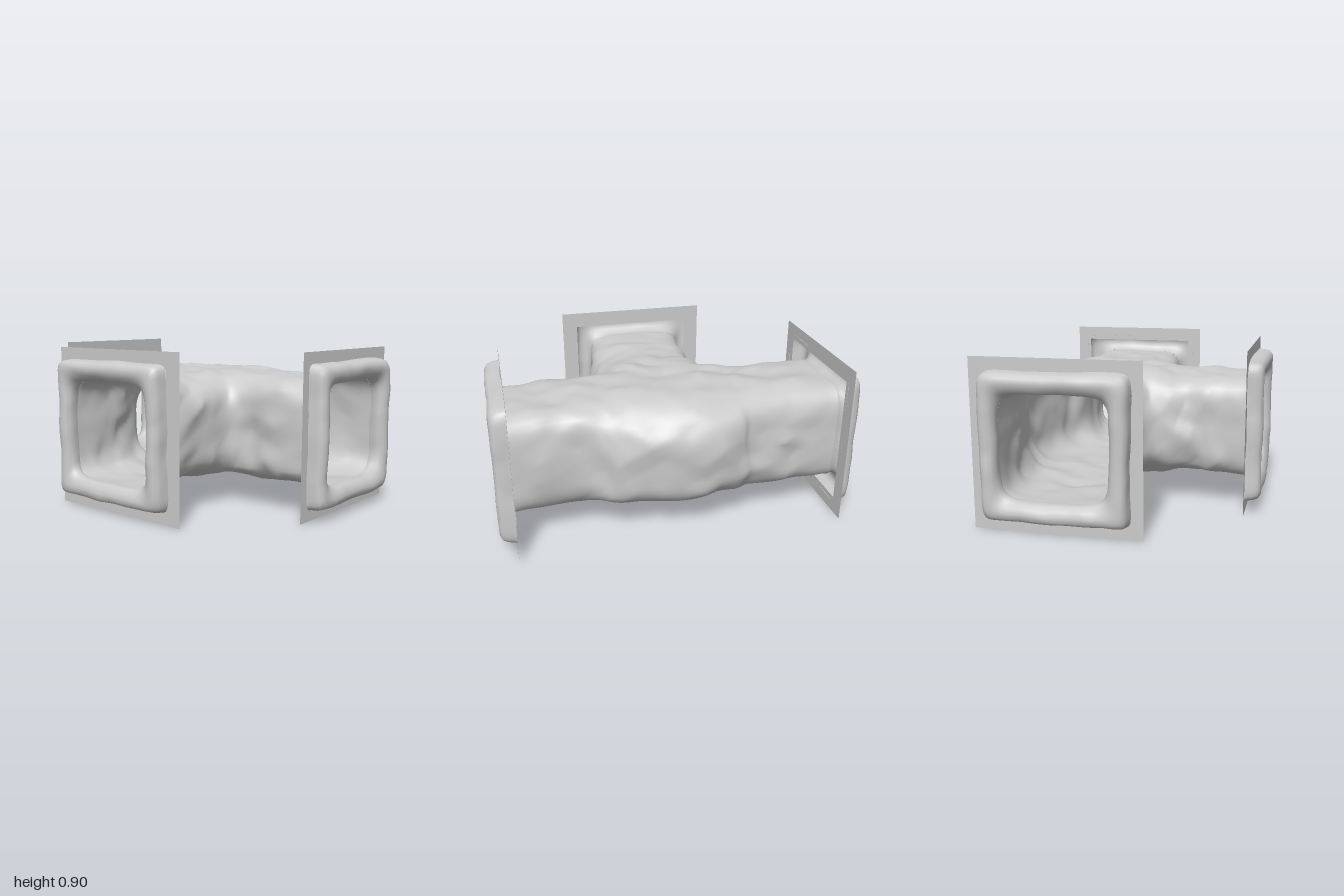
import * as THREE from 'three';
import { mergeGeometries, mergeVertices } from 'three/addons/utils/BufferGeometryUtils.js';

const MID_Y = 0.4525, END = 0.905, SIDE_END = -0.63, CENTRE_X = 0.27;

const material = new THREE.MeshStandardMaterial({ color: 0xcccccc, side: THREE.DoubleSide });

// Seeded noise, -1..1; linear blending leaves chiselled creases
function hash(x, y, z, seed) {
  const v = Math.sin(x * 127.1 + y * 311.7 + z * 74.7 + seed * 53.3) * 43758.5453;
  return (v - Math.floor(v)) * 2 - 1;
}
function noise(p, scale, seed) {
  const at = [p.x + 0.5 * p.y - 0.3 * p.z, p.y - 0.6 * p.x + 0.4 * p.z, p.z + 0.5 * p.x - 0.5 * p.y]
    .map((v) => v * scale);
  const cell = at.map(Math.floor);
  let sum = 0;
  for (let k = 0; k < 8; k++) {
    const d = [k & 1, (k >> 1) & 1, k >> 2];
    const w = d.reduce((m, on, i) => m * (on ? at[i] - cell[i] : 1 - at[i] + cell[i]), 1);
    sum += w * hash(cell[0] + d[0], cell[1] + d[1], cell[2] + d[2], seed);
  }
  return sum;
}

// Rocky displacement, calmer towards the three mouths
function roughen(geometry) {
  const pos = geometry.attributes.position;
  const p = new THREE.Vector3();
  for (let i = 0; i < pos.count; i++) {
    p.fromBufferAttribute(pos, i);
    const toMouth = Math.min(END - Math.abs(p.z), p.x - SIDE_END);
    const amount = 0.008 + 0.018 * THREE.MathUtils.smoothstep(toMouth, 0, 0.25);
    const push = [1, 2, 3].map((s) => 0.8 * noise(p, 4.5, s) + 0.6 * noise(p, 9, s + 5));
    pos.setXYZ(i, p.x + push[0] * amount, p.y + push[1] * amount, p.z + push[2] * amount);
  }
  const merged = mergeVertices(geometry, 1e-4);
  merged.computeVertexNormals();
  return merged;
}

// Sheet of (rows + 1) x (cols + 1) points
function sheet(rows, cols, pointAt) {
  const points = [], index = [];
  for (let i = 0; i <= rows; i++) {
    for (let j = 0; j <= cols; j++) {
      points.push(pointAt(i / rows, j / cols));
      if (i < rows && j < cols) {
        const a = i * (cols + 1) + j, b = a + cols + 1;
        index.push(a, a + 1, b, a + 1, b + 1, b);
      }
    }
  }
  const geometry = new THREE.BufferGeometry().setFromPoints(points);
  geometry.setIndex(index);
  return geometry;
}

// Point on a unit rounded square; higher n gives tighter corners
function roundedSquare(angle, n) {
  const c = Math.cos(angle), s = Math.sin(angle);
  const r = (Math.abs(c) ** n + Math.abs(s) ** n) ** (-1 / n);
  return [c * r, s * r];
}

// One tunnel wall, arching from the spine of the roof round to the spine of the floor
function tunnelWall(start, end, outline) {
  const hub = new THREE.Vector3(0.22, 0, 0);
  const wall = new THREE.CatmullRomCurve3(outline.map(([x, z]) => new THREE.Vector3(x, 0, z)));
  return sheet(80, 40, (s, t) => {
    const spine = s < 0.5 ? start.clone().lerp(hub, s * 2) : hub.clone().lerp(end, s * 2 - 1);
    // Roof and floor swell along the main tunnel, not along the side arm
    const swell = Math.sin(Math.PI * s) * THREE.MathUtils.smoothstep(spine.x, -0.35, 0.15);
    const tightness = 5.5 - 1.8 * Math.sin(Math.PI * s) ** 0.5;
    const [across, up] = roundedSquare(Math.PI * (0.5 - t), tightness);
    const p = spine.lerp(wall.getPoint(s), across);
    p.y = MID_Y + up * (0.285 + 0.022 * swell);
    return p;
  });
}

function tunnel() {
  const front = new THREE.Vector3(CENTRE_X, 0, END);
  const back = new THREE.Vector3(CENTRE_X, 0, -END);
  const side = new THREE.Vector3(SIDE_END, 0, 0);
  const walls = [
    tunnelWall(front, back, [[0.57, END], [0.565, 0.72], [0.555, 0.56], [0.575, 0.44], [0.61, 0.36],
      [0.65, 0.2], [0.68, 0.04], [0.695, -0.12], [0.68, -0.24], [0.65, -0.33], [0.615, -0.38],
      [0.6, -0.52], [0.575, -0.64], [0.565, -0.78], [0.57, -END]]),
    tunnelWall(back, side, [[-0.03, -END], [-0.045, -0.75], [-0.045, -0.55], [-0.055, -0.42],
      [-0.11, -0.35], [-0.22, -0.315], [-0.34, -0.285], [-0.48, -0.29], [SIDE_END, -0.3]]),
    tunnelWall(side, front, [[SIDE_END, 0.3], [-0.48, 0.315], [-0.34, 0.335], [-0.22, 0.36],
      [-0.11, 0.385], [-0.07, 0.47], [-0.065, 0.6], [-0.055, 0.75], [-0.03, END]]),
  ];
  return roughen(mergeGeometries(walls));
}

// Rolled lip round a mouth: [half width, half height, distance out, corner tightness]
const LIP = [
  [0.3, 0.285, 0, 5.5], [0.292, 0.278, 0.03, 5.5], [0.295, 0.284, 0.06, 7], [0.312, 0.306, 0.08, 9],
  [0.335, 0.333, 0.088, 11], [0.36, 0.358, 0.086, 14], [0.378, 0.376, 0.07, 16],
  [0.384, 0.383, 0.045, 18], [0.386, 0.386, 0.015, 18], [0.388, 0.388, 0, 20],
];
function lip(placement) {
  const rows = LIP.length - 1;
  const geometry = sheet(rows, 160, (s, t) => {
    const [w, h, out, n] = LIP[Math.round(s * rows)];
    const [x, y] = roundedSquare(-t * Math.PI * 2, n);
    return new THREE.Vector3(x * w, y * h, out);
  });
  return roughen(geometry.applyMatrix4(placement));
}

// Flat square sheet with a square hole behind the lip
function plate(placement, shift, half) {
  const square = (path, h) => path.moveTo(shift - h, -h).lineTo(shift + h, -h)
    .lineTo(shift + h, h).lineTo(shift - h, h).closePath();
  const shape = new THREE.Shape();
  square(shape, half);
  const hole = new THREE.Path();
  square(hole, 0.361);
  shape.holes.push(hole);
  return new THREE.ShapeGeometry(shape).applyMatrix4(placement);
}

export function createModel() {
  const model = new THREE.Group();
  model.name = 'tunnelJunction';
  const add = (name, geometry) => {
    const mesh = new THREE.Mesh(geometry, material);
    mesh.name = name;
    model.add(mesh);
  };

  add('tunnel', tunnel());

  // Three mouths: name, position, turn about y, plate's sideways shift and half size
  const mouths = [
    ['front', CENTRE_X, END, 0, 0.006, 0.448],
    ['back', CENTRE_X, -END, Math.PI, 0, 0.4525],
    ['side', SIDE_END, 0, -Math.PI / 2, 0.02, 0.4525],
  ];
  for (const [name, x, z, turn, shift, half] of mouths) {
    const placement = new THREE.Matrix4().makeRotationY(turn).setPosition(x, MID_Y, z);
    add(name + 'Lip', lip(placement));
    add(name + 'Plate', plate(placement, shift, half));
  }
  return model;
}
